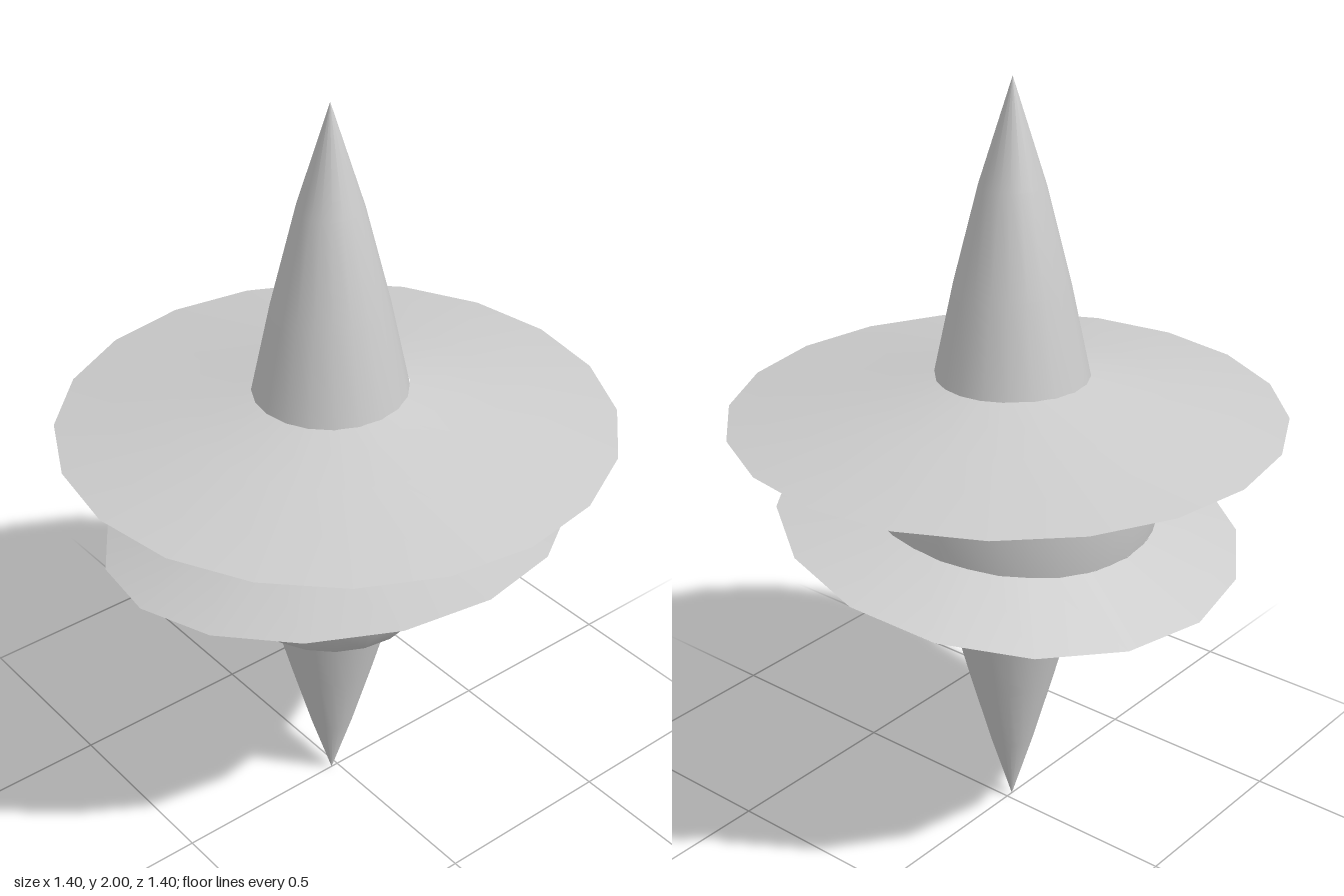
import * as THREE from 'three';

const AXIS_Z = 0.02;   // body axis sits slightly in front of the brim centre
const CUT = 1.15;      // half-angle of the face area holding the eyes
const material = new THREE.MeshStandardMaterial({ color: 0xcccccc });

function addMesh(parent, name, geometry, z = 0) {
  const mesh = new THREE.Mesh(geometry, material);
  mesh.name = name;
  mesh.position.z = z;
  parent.add(mesh);
  return mesh;
}

// Turned part; profile runs from bottom to top as [radius, y]
function lathe(profile, sides, start = 0, length = Math.PI * 2) {
  const points = profile.map(([r, y]) => new THREE.Vector2(r, y));
  return new THREE.LatheGeometry(points, sides, start, length);
}

// Head radius at a given height
function headRadius(y) {
  return y < 0.97
    ? THREE.MathUtils.mapLinear(y, 0.86, 0.97, 0.367, 0.385)
    : THREE.MathUtils.mapLinear(y, 0.97, 1.15, 0.385, 0.39);
}

// Even samples along a four-cornered loop of [angle, y]
function sampleLoop(corners, perSide = 10) {
  const out = [];
  corners.forEach((a, i) => {
    const b = corners[(i + 1) % 4];
    for (let k = 0; k < perSide; k++) {
      const t = k / perSide;
      out.push([a[0] + (b[0] - a[0]) * t, a[1] + (b[1] - a[1]) * t]);
    }
  });
  return out;
}

// Surface between two loops wrapped on the head, each sunk by its own depth
function wrappedLoft(outer, inner, outerDepth, innerDepth, steps, side) {
  const positions = [], index = [], n = outer.length;
  for (let j = 0; j <= steps; j++) {
    const t = j / steps;
    const depth = outerDepth + (innerDepth - outerDepth) * t;
    for (let i = 0; i < n; i++) {
      const angle = outer[i][0] + (inner[i][0] - outer[i][0]) * t;
      const y = outer[i][1] + (inner[i][1] - outer[i][1]) * t;
      const r = headRadius(y) - depth;
      positions.push(side * r * Math.sin(angle), y, r * Math.cos(angle));
    }
  }
  for (let j = 0; j < steps; j++) {
    for (let i = 0; i < n; i++) {
      const a = j * n + i, b = j * n + (i + 1) % n, c = a + n, d = b + n;
      if (side > 0) index.push(a, c, d, a, d, b);
      else index.push(a, d, c, a, b, d);
    }
  }
  const geometry = new THREE.BufferGeometry();
  geometry.setAttribute('position', new THREE.Float32BufferAttribute(positions, 3));
  geometry.setIndex(index);
  geometry.computeVertexNormals();
  return geometry;
}

// Half of the face with a sunken triangular eye
function addFaceHalf(parent, side) {
  const border = sampleLoop([[0, 1.15], [CUT, 1.15], [CUT, 0.86], [0, 0.86]]);
  const rim = sampleLoop([[0.2, 1.133], [0.93, 1.133], [0.63, 1.03], [0.63, 1.03]]);
  const base = sampleLoop([[0.3, 1.125], [0.86, 1.125], [0.62, 1.048], [0.62, 1.048]]);
  const middle = base.map(() => [0.59, 1.1]);
  const half = new THREE.Group();
  half.name = side > 0 ? 'leftFace' : 'rightFace';
  half.position.z = AXIS_Z;
  addMesh(half, 'faceSkin', wrappedLoft(border, rim, 0, 0, 5, side));
  addMesh(half, 'eyeSocketWall', wrappedLoft(rim, base, 0, 0.02, 1, side));
  addMesh(half, 'eyeSocketFloor', wrappedLoft(base, middle, 0.02, 0.02, 3, side));
  parent.add(half);
}

export function createModel() {
  const model = new THREE.Group();
  model.name = 'spinningHatFigure';

  // Hat: pointed crown and wide thin brim
  const hat = new THREE.Group();
  hat.name = 'hat';
  addMesh(hat, 'hatCrown', lathe([[0.196, 1.25], [0.145, 1.49], [0.082, 1.74], [0, 2]], 20), AXIS_Z);
  addMesh(hat, 'hatBrimTop', lathe([[0.702, 1.155], [0.4, 1.21], [0.18, 1.257]], 20));
  addMesh(hat, 'hatBrimUnderside', lathe([[0, 1.13], [0.39, 1.137], [0.702, 1.155]], 20));
  model.add(hat);

  // Head: rounded back wall and a face with two eyes
  addMesh(model, 'headBack', lathe([[0.367, 0.86], [0.385, 0.97], [0.39, 1.15]], 20,
    CUT, Math.PI * 2 - CUT * 2), AXIS_Z);
  for (const side of [1, -1]) addFaceHalf(model, side);

  // Lower body: bowl and pointed foot
  addMesh(model, 'bowl', lathe([[0.15, 0.545], [0.24, 0.61], [0.335, 0.73], [0.367, 0.86]], 20), AXIS_Z);
  addMesh(model, 'footSpike', lathe([[0, 0], [0.058, 0.19], [0.113, 0.39], [0.154, 0.547]], 20), AXIS_Z);

  // Tilted collar ring around the body
  const collar = new THREE.Group();
  collar.name = 'tiltedCollar';
  collar.position.set(0, 0.852, 0.012);
  collar.rotation.z = 0.156;
  addMesh(collar, 'collarTop', lathe([[0.598, 0], [0.33, 0.07]], 16));
  addMesh(collar, 'collarUnderside', lathe([[0.32, -0.025], [0.598, 0]], 16));
  model.add(collar);

  return model;
}
